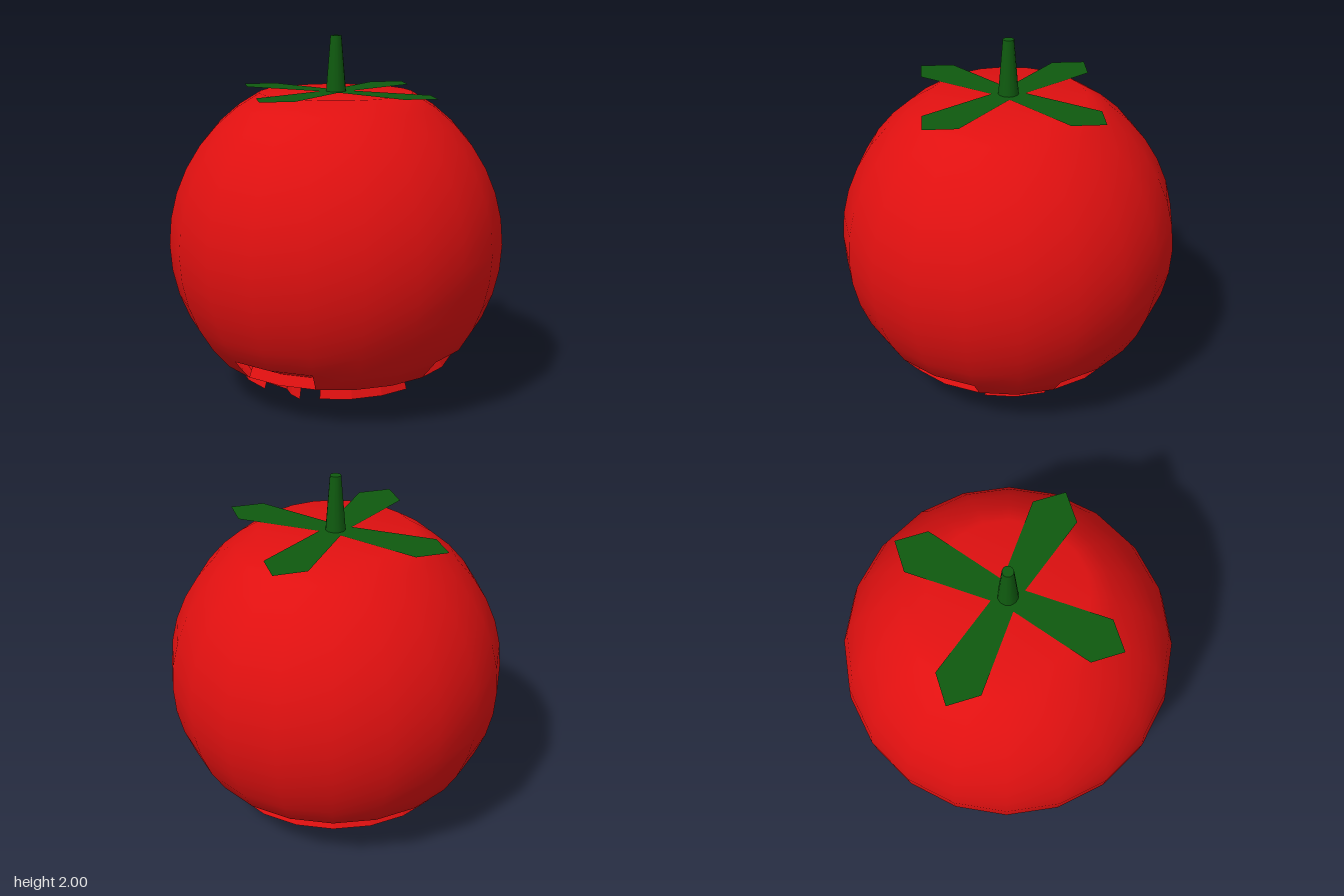
import * as THREE from 'three';
import { mergeVertices } from 'three/addons/utils/BufferGeometryUtils.js';

const R = 0.92, CY = 0.876, SIDES = 20, STEP = Math.PI / 20, TOP = 7;
const TOP_Y = CY + R * Math.sin(TOP * STEP);
const apex = new THREE.Vector3(0, TOP_Y - 0.01, 0);

// Point on the fruit: column counted from +z towards +x, row in 9 degree steps above the equator
function point(col, row) {
  const a = col * 2 * Math.PI / SIDES, r = R * Math.cos(row * STEP);
  return new THREE.Vector3(r * Math.sin(a), CY + R * Math.sin(row * STEP), r * Math.cos(a));
}

// Rim point drawn slightly up and inward along the inner wall
function lip(col, row) {
  const p = point(col, row);
  return p.lerp(apex, 0.055 / (apex.y - p.y));
}

function geometryFrom(points, smooth) {
  let g = new THREE.BufferGeometry().setFromPoints(points);
  if (smooth) g = mergeVertices(g, 1e-4);
  g.computeVertexNormals();
  return g;
}

export function createModel() {
  const group = new THREE.Group();
  const red = new THREE.MeshStandardMaterial({ color: 0xe01010, side: THREE.DoubleSide });
  const green = new THREE.MeshStandardMaterial({ color: 0x0f5a0f, side: THREE.DoubleSide });
  const add = (name, geometry, material) => {
    const mesh = new THREE.Mesh(geometry, material);
    mesh.name = name;
    group.add(mesh);
    return mesh;
  };

  // Lowest row reached by each column strip, starting at column -10
  const rims = [5, 5, 5, 8, 8, 6, 6, 5, 5, 6, 6, 6, 5, 5, 6, 6, 5, 5, 5, 5];
  const skin = [], wall = [];
  const quad = (out, a, b, c, d) => out.push(d, c, b, d, b, a);
  const sheet = (col, row) => wall.push(point(col, -row), point(col + 1, -row), apex);

  rims.forEach((rim, i) => {
    const c = i - 10;
    // Flat top
    skin.push(new THREE.Vector3(0, TOP_Y, 0), point(c, TOP), point(c + 1, TOP));
    // Rounded side, its last row tucked in above the torn edge
    for (let row = TOP; row > -rim; row--) {
      const end = row - 1 === -rim && rim < 8 ? lip : point;
      quad(skin, point(c, row), point(c + 1, row), end(c + 1, row - 1), end(c, row - 1));
    }
    // Inner wall rising from the torn edge to the top
    sheet(c, rim);
  });

  // Loose shards hanging inside the opening
  for (const c of [9, -10]) sheet(c, 7);
  for (const c of [-5, -4]) sheet(c, 8);

  add('fruitSkin', geometryFrom(skin, true), red);
  add('innerWall', geometryFrom(wall, false), red);

  // Four flat leaves joined in a cross
  const outline = [];
  for (let q = 0; q < 4; q++) {
    const a = q * Math.PI / 2;
    for (const [x, y] of [[0.09, 0], [0.46, 0.28], [0.46, 0.46], [0.28, 0.46]]) {
      outline.push(new THREE.Vector2(x, y).rotateAround(new THREE.Vector2(), a));
    }
  }
  const leaves = new THREE.ShapeGeometry(new THREE.Shape(outline));
  leaves.rotateX(-Math.PI / 2);
  add('leaves', leaves, green).position.y = TOP_Y + 0.004;

  // Tapered stem
  const height = 2 - TOP_Y;
  add('stem', new THREE.CylinderGeometry(0.03, 0.055, height, 12), green).position.y = TOP_Y + height / 2;
  return group;
}
